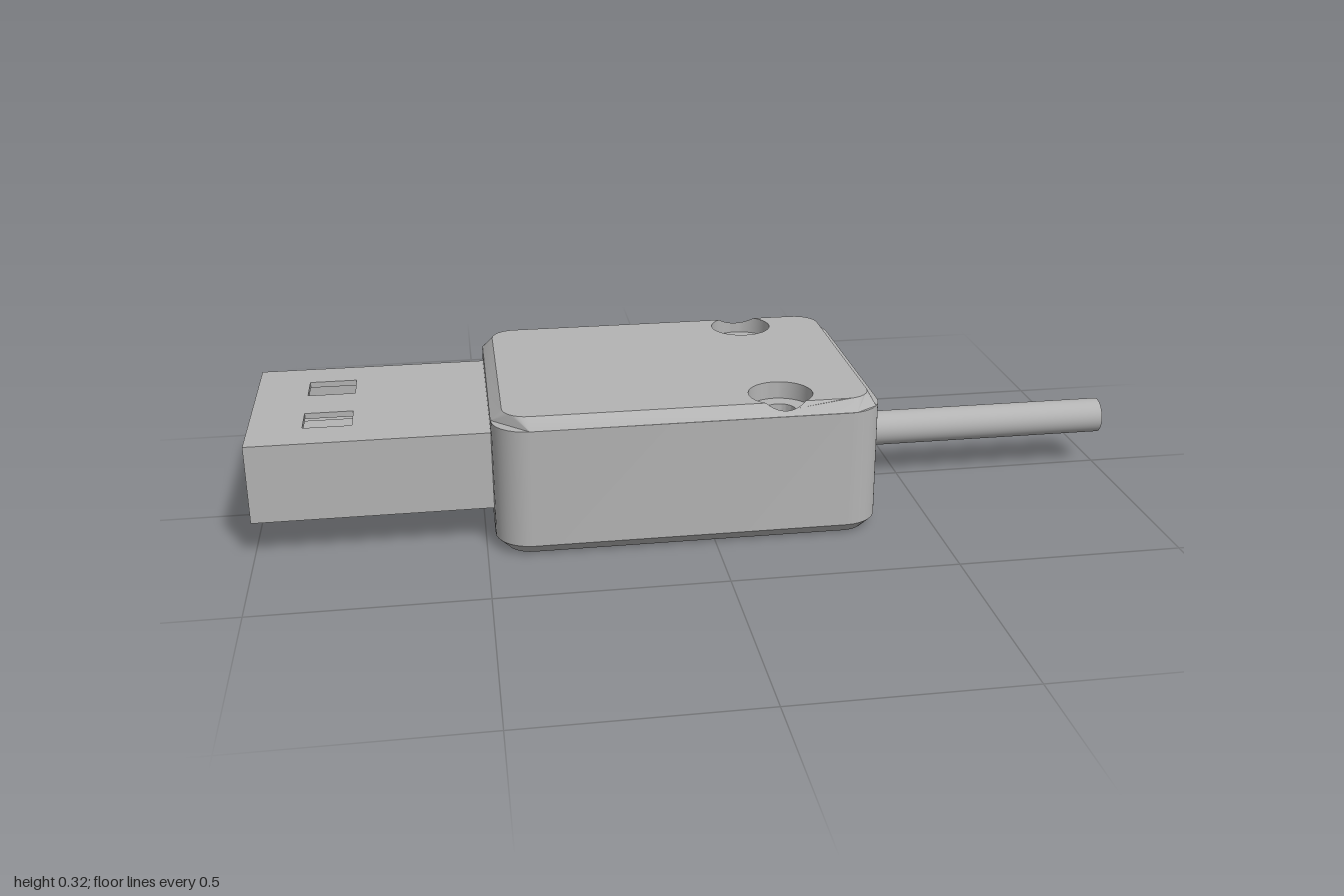
import * as THREE from 'three';
import { toCreasedNormals } from 'three/addons/utils/BufferGeometryUtils.js';

const X0 = -0.48, X1 = 0.374, HZ = 0.32, H = 0.317, BEVEL = 0.025, R = 0.08, N = 8;
const SCREW = { x: 0.155, z: 0.239, r: 0.071 };

// Rounded rectangle in plan; notch 'in' or 'out' follows the screw wells at the long edges
function outline(inset = 0, notch = null) {
  const pts = [], r = R - inset;
  const a0 = Math.asin((HZ - inset - SCREW.z) / SCREW.r);
  const addNotch = (side) => {
    if (!notch) return;
    const start = side > 0 ? a0 : Math.PI + a0;
    const sweep = Math.PI - 2 * a0 - (notch === 'in' ? 2 * Math.PI : 0);
    for (let i = 0; i <= 32; i++) {
      const a = start + sweep * i / 32;
      pts.push(new THREE.Vector2(SCREW.x + SCREW.r * Math.cos(a), side * SCREW.z + SCREW.r * Math.sin(a)));
    }
  };
  [[X1 - R, -HZ + R], [X1 - R, HZ - R], [X0 + R, HZ - R], [X0 + R, -HZ + R]].forEach(([cx, cz], k) => {
    for (let i = 0; i <= N; i++) {
      const a = (k - 1 + i / N) * Math.PI / 2;
      pts.push(new THREE.Vector2(cx + r * Math.cos(a), cz + r * Math.sin(a)));
    }
    if (k === 1) addNotch(1);
    if (k === 3) addNotch(-1);
  });
  return pts;
}

// Band between two plan outlines at two heights, optionally leaving one quad open
function band(lower, y0, upper, y1, skip = -1) {
  const pos = [], n = lower.length;
  for (let i = 0; i < n; i++) {
    if (i === skip) continue;
    const j = (i + 1) % n;
    const a = [lower[i].x, y0, -lower[i].y], b = [lower[j].x, y0, -lower[j].y];
    const c = [upper[j].x, y1, -upper[j].y], d = [upper[i].x, y1, -upper[i].y];
    pos.push(...a, ...b, ...c, ...a, ...c, ...d);
  }
  const g = new THREE.BufferGeometry();
  g.setAttribute('position', new THREE.Float32BufferAttribute(pos, 3));
  return toCreasedNormals(g, 0.5);
}

// Turn a geometry inward, for holes and pockets
function insideOut(g) {
  g.scale(-1, 1, 1);
  const flat = g.toNonIndexed();
  flat.deleteAttribute('normal');
  return toCreasedNormals(flat, 0.5);
}

const rect = (Kind, x0, y0, x1, y1) =>
  new Kind([[x0, y0], [x1, y0], [x1, y1], [x0, y1]].map(p => new THREE.Vector2(...p)));

// Top surface height: flat, then falling along the bevel of the long sides
const topHeight = (z) => Math.min(H, H - (Math.abs(z) - (HZ - BEVEL)));

export function createModel() {
  const model = new THREE.Group();
  const grey = new THREE.MeshStandardMaterial({ color: 0xb4b4b4 });
  grey.name = 'grey plastic';
  const add = (parent, name, geo, x = 0, y = 0, z = 0) => {
    const m = new THREE.Mesh(geo, grey);
    m.name = name;
    m.position.set(x, y, z);
    parent.add(m);
    return m;
  };
  const box = (parent, name, x0, x1, y0, y1, z0, z1) => add(parent, name,
    new THREE.BoxGeometry(x1 - x0, y1 - y0, z1 - z0), (x0 + x1) / 2, (y0 + y1) / 2, (z0 + z1) / 2);
  const group = (name) => {
    const g = new THREE.Group();
    g.name = name;
    model.add(g);
    return g;
  };

  // Housing
  const housing = group('housing');
  const full = outline(), small = outline(BEVEL), SHOULDER = H - BEVEL;
  add(housing, 'housingBottom', new THREE.ShapeGeometry(new THREE.Shape(small)).rotateX(Math.PI / 2));
  add(housing, 'lowerBevel', band(small, 0, full, BEVEL));
  add(housing, 'housingSides', band(full, BEVEL, full, SHOULDER, N));
  const lid = new THREE.Shape(outline(BEVEL, 'in'));
  add(housing, 'housingTop', new THREE.ShapeGeometry(lid).rotateX(-Math.PI / 2), 0, H, 0);

  // Upper bevel, cut by the screw wells
  const rim = new THREE.Shape(full);
  rim.holes.push(new THREE.Path(outline(BEVEL, 'out')));
  const rimGeo = new THREE.ShapeGeometry(rim).rotateX(-Math.PI / 2);
  const rp = rimGeo.attributes.position;
  for (let i = 0; i < rp.count; i++) {
    const outer = i < full.length;
    rp.setY(i, outer ? SHOULDER : topHeight(rp.getZ(i)));
  }
  const rimFlat = rimGeo.toNonIndexed();
  rimFlat.deleteAttribute('normal');
  add(housing, 'upperBevel', toCreasedNormals(rimFlat, 0.5));

  // Cable end wall with its slot, pocket and clamp tongue
  const wall = rect(THREE.Shape, -HZ + R, BEVEL, HZ - R, SHOULDER);
  wall.holes.push(rect(THREE.Path, -0.044, 0.081, 0.044, 0.265));
  add(housing, 'cableEndWall', new THREE.ShapeGeometry(wall).rotateY(Math.PI / 2), X1, 0, 0);
  add(housing, 'cablePocket', insideOut(new THREE.BoxGeometry(0.1, 0.184, 0.088)), X1 - 0.05, 0.173, 0);
  const tongueShape = new THREE.Shape([[0.28, 0.162], [X1 - 0.012, 0.162], [X1, 0.174], [X1, 0.265], [0.28, 0.265]]
    .map(p => new THREE.Vector2(...p)));
  add(housing, 'clampTongue', new THREE.ExtrudeGeometry(tongueShape, { depth: 0.08, bevelEnabled: false }), 0, 0, -0.04);

  // Screw wells
  const disc = (r0, r1) => (r0 ? new THREE.RingGeometry(r0, r1, 48) : new THREE.CircleGeometry(r1, 48)).rotateX(-Math.PI / 2);
  for (const side of [1, -1]) {
    const well = group('screwWell');
    const tube = (name, r, y0, y1) => add(well, name,
      insideOut(new THREE.CylinderGeometry(r, r, y1 - y0, 48, 1, true)), SCREW.x, (y0 + y1) / 2, side * SCREW.z);
    const y0 = 0.278, y1 = 0.255, y2 = 0.2;
    const bore = tube('wellWall', SCREW.r, y0, H);
    const p = bore.geometry.attributes.position;
    for (let i = 0; i < p.count; i++) {
      if (p.getY(i) > 0) p.setY(i, topHeight(p.getZ(i) + side * SCREW.z) - bore.position.y);
    }
    add(well, 'wellFloor', disc(0.035, SCREW.r), SCREW.x, y0, side * SCREW.z);
    tube('screwHole', 0.035, y1, y0);
    add(well, 'screwHoleStep', disc(0.027, 0.035), SCREW.x, y1, side * SCREW.z);
    tube('screwSocket', 0.027, y2, y1);
    add(well, 'socketFloor', disc(0, 0.027), SCREW.x, y2, side * SCREW.z);
  }

  // Plug shell with two windows above and below
  const plug = group('plug');
  const T = 0.013, PZ = 0.237, PY0 = 0.085, PY1 = 0.262, PX1 = -0.47;
  const plate = rect(THREE.Shape, -1, -PZ, PX1, PZ);
  for (const s of [1, -1]) plate.holes.push(rect(THREE.Path, -0.883, s * 0.101 - 0.044, -0.777, s * 0.101 + 0.044));
  for (const [name, y] of [['shellTop', PY1 - T], ['shellBottom', PY0]]) {
    add(plug, name, new THREE.ExtrudeGeometry(plate, { depth: T, bevelEnabled: false }).rotateX(-Math.PI / 2), 0, y, 0);
  }
  for (const s of [1, -1]) {
    const z = s * (PZ - T / 2);
    box(plug, 'shellSide', -1, PX1, PY0 + T, PY1 - T, z - T / 2, z + T / 2);
  }

  // Contact block inside the plug
  box(plug, 'contactBlock', -0.985, PX1, PY0 + T, 0.185, -0.21, 0.21);
  for (const z of [-0.14, -0.047, 0.047, 0.14]) box(plug, 'contact', -0.965, PX1, 0.185, 0.195, z - 0.025, z + 0.025);

  // Cable
  add(model, 'cable', new THREE.CylinderGeometry(0.041, 0.041, 0.71, 40).rotateZ(Math.PI / 2), 0.645, 0.122, 0);
  return model;
}
